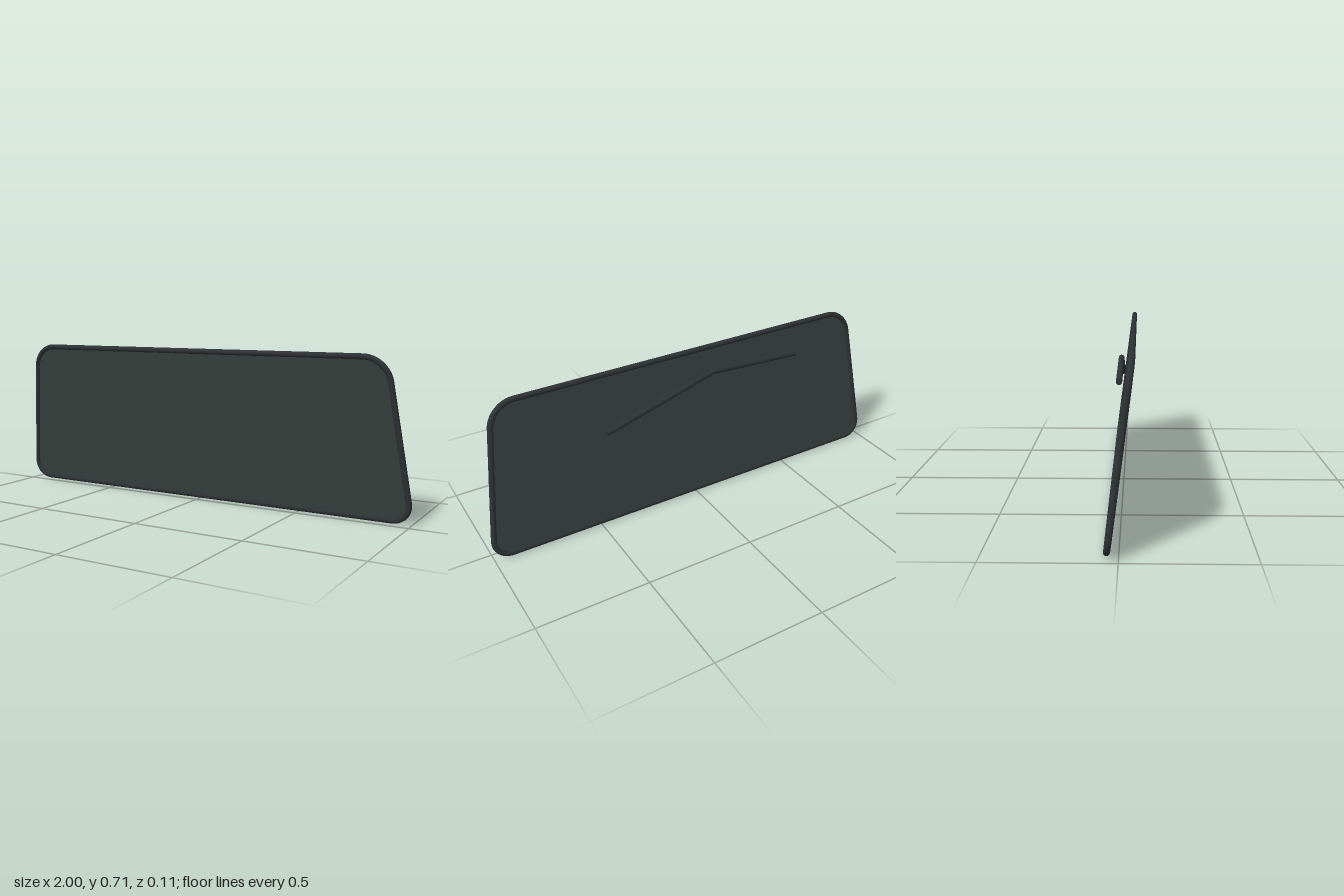
import * as THREE from 'three';

const RADIUS = 0.0125; // frame tube and rod

// Closed outline with rounded corners; corners are [x, y, fillet length]
function roundedOutline(corners) {
  const shape = new THREE.Shape();
  const n = corners.length;
  const at = (i) => new THREE.Vector2(corners[(i + n) % n][0], corners[(i + n) % n][1]);
  const toward = (from, to, d) => to.clone().sub(from).setLength(d).add(from);
  const start = at(0).lerp(at(n - 1), 0.5);
  shape.moveTo(start.x, start.y);
  for (let i = 0; i < n; i++) {
    const c = at(i), r = corners[i][2];
    const a = toward(c, at(i - 1), r), b = toward(c, at(i + 1), r);
    const ha = toward(c, at(i - 1), r * 0.45), hb = toward(c, at(i + 1), r * 0.45);
    shape.lineTo(a.x, a.y);
    shape.bezierCurveTo(ha.x, ha.y, hb.x, hb.y, b.x, b.y);
  }
  shape.lineTo(start.x, start.y);
  return shape;
}

// The flat outline as a space curve for the frame tube
class OutlineCurve extends THREE.Curve {
  constructor(shape) {
    super();
    this.shape = shape;
    this.arcLengthDivisions = 800;
  }
  getPoint(t, target = new THREE.Vector3()) {
    const p = this.shape.getPoint(t);
    return target.set(p.x, p.y, 0);
  }
}

function rodBetween(a, b, material) {
  const dir = b.clone().sub(a);
  const rod = new THREE.Mesh(new THREE.CylinderGeometry(RADIUS, RADIUS, dir.length(), 20), material);
  rod.position.copy(a).lerp(b, 0.5);
  rod.quaternion.setFromUnitVectors(new THREE.Vector3(0, 1, 0), dir.normalize());
  return rod;
}

export function createModel() {
  const model = new THREE.Group();
  model.name = 'windshield';
  const glassMaterial = new THREE.MeshStandardMaterial({ color: 0x37403e });
  const trimMaterial = new THREE.MeshStandardMaterial({ color: 0x2c3133 });

  // Tilted panel: glass pane inside a tubular frame
  const height = 0.686;
  const outline = roundedOutline([
    [1.0, 0, 0.085], [0.903, height, 0.1], [-0.903, height, 0.1], [-1.0, 0, 0.085],
  ]);
  const panel = new THREE.Group();
  panel.name = 'panel';
  panel.position.set(0, RADIUS, -0.044);
  panel.rotation.x = Math.asin(0.088 / height);
  model.add(panel);

  const thickness = 0.006;
  const glass = new THREE.Mesh(
    new THREE.ExtrudeGeometry(outline, { depth: thickness, bevelEnabled: false, curveSegments: 16 }),
    glassMaterial,
  );
  glass.name = 'glass';
  glass.position.z = -thickness / 2;
  panel.add(glass);

  const frame = new THREE.Mesh(
    new THREE.TubeGeometry(new OutlineCurve(outline), 400, RADIUS, 16, true),
    trimMaterial,
  );
  frame.name = 'frame';
  panel.add(frame);

  // Bent wiper rod behind the glass
  const wiper = new THREE.Group();
  wiper.name = 'wiper';
  const tip = new THREE.Vector3(0.43, 0.438, -0.0105);
  const bend = new THREE.Vector3(-0.11, 0.592, -0.0075);
  const tail = new THREE.Vector3(-0.57, 0.567, -0.0075);
  const arm = rodBetween(tip, bend, trimMaterial);
  arm.name = 'wiperBlade';
  const blade = rodBetween(bend, tail, trimMaterial);
  blade.name = 'wiperArm';
  const joint = new THREE.Mesh(new THREE.SphereGeometry(RADIUS, 20, 12), trimMaterial);
  joint.name = 'wiperJoint';
  joint.position.copy(bend);
  wiper.add(arm, blade, joint);
  model.add(wiper);

  return model;
}
